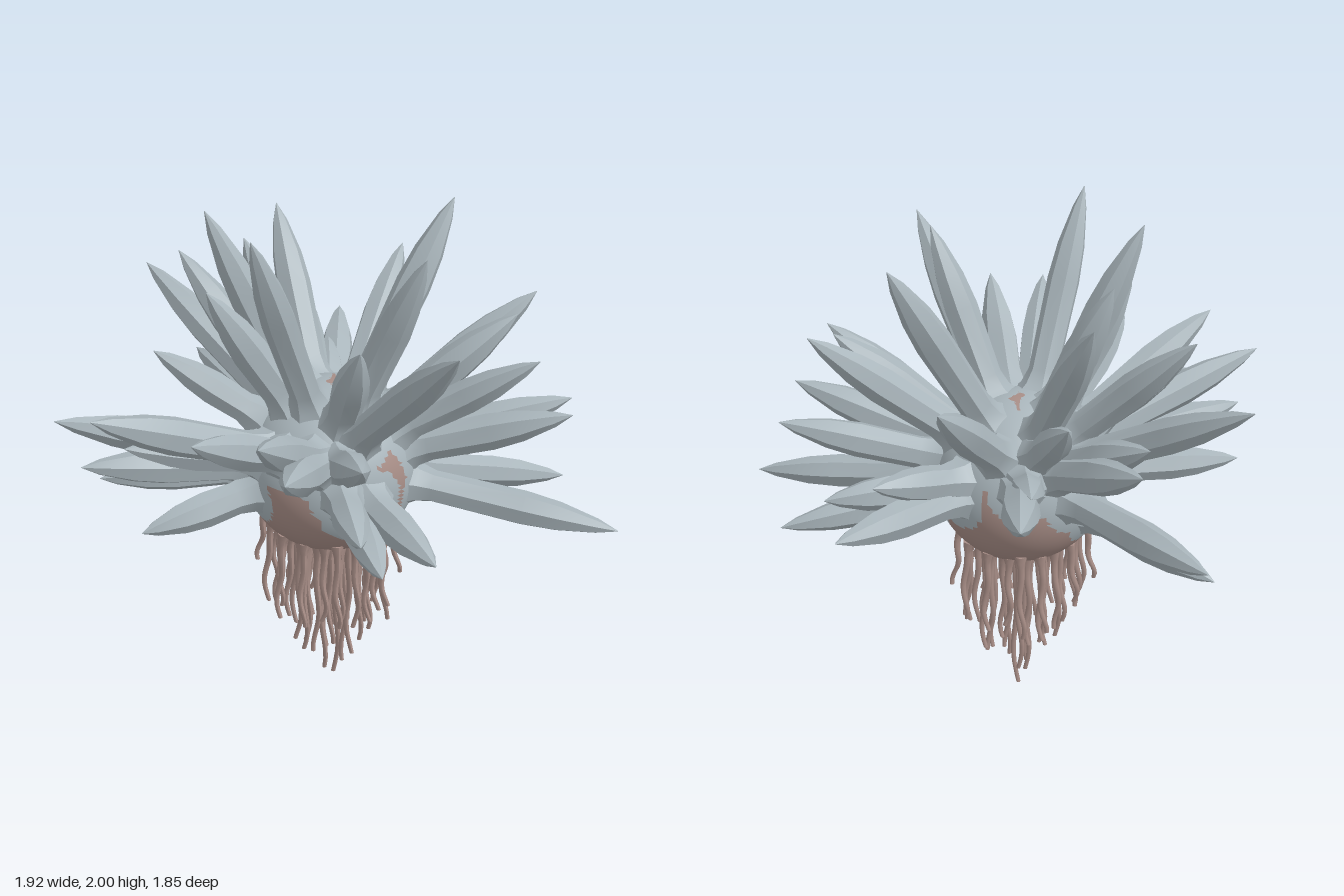
import * as THREE from 'three';
import { toCreasedNormals } from 'three/addons/utils/BufferGeometryUtils.js';

const CENTER = new THREE.Vector3(0.05, 1.0, 0.05);
const R = 0.335;

// Tip of every crystal spike
const TIPS = [
  // upward
  [-0.31, 2.0, 0.34], [-0.37, 1.98, -0.07], [0.56, 1.94, -0.09], [0.27, 1.9, 0.4],
  [0.01, 1.83, -0.54], [-0.2, 1.82, -0.21], [-0.41, 1.75, 0.1],
  [-0.39, 1.7, -0.48], [0.01, 1.64, 0.5],
  // left side
  [0.8, 1.64, 0.15], [0.69, 1.6, 0.24], [0.66, 1.53, 0.5], [0.8, 1.31, 0.51],
  [0.91, 1.26, 0.29], [0.85, 1.08, -0.31], [0.69, 1.22, -0.23], [0.81, 1.03, 0.06],
  [0.96, 0.87, 0.19], [0.96, 0.88, 0.64],
  // right side
  [-0.86, 1.43, 0.32], [-0.96, 1.34, 0.1], [-0.57, 1.47, -0.1], [-0.56, 1.38, 0.49],
  [-0.74, 1.25, 0.2], [-0.88, 1.13, 0.07], [-0.8, 0.98, -0.1], [-0.7, 0.9, 0.2],
  // front
  [0.18, 1.78, 0.92], [-0.36, 1.43, 0.91], [-0.41, 1.5, 0.79], [-0.07, 1.36, 0.78],
  [-0.06, 1.06, 0.75], [0.19, 0.97, 0.8], [0.03, 0.9, 0.72],
  // back
  [0.53, 1.62, -0.53], [-0.47, 1.56, -0.76], [0.34, 1.28, -0.76], [-0.06, 1.42, -0.8],
  [-0.25, 1.09, -0.93], [-0.45, 0.81, -0.62], [-0.15, 1.43, -0.66], [0.1, 1.5, -0.56],
  [0.22, 1.25, -0.53],
].map((t) => new THREE.Vector3(...t));

// Seeded random numbers
let seed = 7;
function rand() {
  seed = (seed * 16807) % 2147483647;
  return seed / 2147483647;
}

const UP = new THREE.Vector3(0, 1, 0);

function spike(tip, material) {
  const axis = tip.clone().sub(CENTER);
  const length = axis.length();
  const w = 0.062 + 0.008 * rand();
  // flared root, slightly swelling shaft, pointed end
  const profile = [
    [0.11, R * 0.88], [0.075, R * 1.03], [w * 0.93, R * 1.2],
    [w, length * 0.68], [w * 0.84, length * 0.8], [w * 0.42, length * 0.93], [0.001, length],
  ].map(([r, y]) => new THREE.Vector2(r, y));
  const geometry = toCreasedNormals(new THREE.LatheGeometry(profile, 7, rand() * 6), 0.7);
  const mesh = new THREE.Mesh(geometry, material);
  mesh.name = 'crystalSpike';
  mesh.position.copy(CENTER);
  mesh.quaternion.setFromUnitVectors(UP, axis.normalize());
  return mesh;
}

// Ball whose faces near a spike root take the crystal colour
function body(skin, crystal) {
  const geometry = new THREE.SphereGeometry(R, 96, 64);
  const directions = TIPS.map((t) => t.clone().sub(CENTER).normalize());
  const pos = geometry.attributes.position;
  const index = geometry.index.array;
  const faces = [[], []];
  const p = new THREE.Vector3();
  const v = new THREE.Vector3();
  for (let i = 0; i < index.length; i += 3) {
    p.set(0, 0, 0);
    for (let k = 0; k < 3; k++) p.add(v.fromBufferAttribute(pos, index[i + k]));
    p.normalize();
    const near = directions.some((d) => d.dot(p) > Math.cos(0.38));
    faces[near ? 1 : 0].push(index[i], index[i + 1], index[i + 2]);
  }
  geometry.setIndex(faces.flat());
  geometry.addGroup(0, faces[0].length, 0);
  geometry.addGroup(faces[0].length, faces[1].length, 1);
  const mesh = new THREE.Mesh(geometry, [skin, crystal]);
  mesh.name = 'body';
  mesh.position.copy(CENTER);
  return mesh;
}

// Thin, gently wavy root hanging from the underside
function root(x, z, endY, material) {
  const r = Math.hypot(x, z);
  const startY = CENTER.y - Math.sqrt(R * R - r * r) + 0.02;
  const height = startY - endY;
  const geometry = new THREE.CylinderGeometry(0.015, 0.009, height, 7, 14);
  const pos = geometry.attributes.position;
  const phase = rand() * 6;
  for (let i = 0; i < pos.count; i++) {
    const t = THREE.MathUtils.clamp(0.5 - pos.getY(i) / height, 0, 1);
    const flare = 1 + 0.9 * Math.max(0, 1 - t * 9);
    const spread = 0.16 * Math.sqrt(t);
    const wave = 0.012 * t;
    pos.setX(i, pos.getX(i) * flare + x * spread + wave * Math.sin(t * 9 + phase));
    pos.setZ(i, pos.getZ(i) * flare + z * spread + wave * Math.cos(t * 8 + phase));
  }
  geometry.computeVertexNormals();
  const mesh = new THREE.Mesh(geometry, material);
  mesh.name = 'root';
  mesh.position.set(CENTER.x + x, (startY + endY) / 2, CENTER.z + z);
  return mesh;
}

export function createModel() {
  const crystal = new THREE.MeshStandardMaterial({ color: 0xa9b5bb });
  crystal.name = 'crystalGrey';
  const skin = new THREE.MeshStandardMaterial({ color: 0xa88e87 });
  skin.name = 'dustyBrown';

  const model = new THREE.Group();
  model.name = 'crystalUrchin';
  model.add(body(skin, crystal));

  const spikes = new THREE.Group();
  spikes.name = 'spikes';
  TIPS.forEach((tip) => spikes.add(spike(tip, crystal)));
  model.add(spikes);

  // Roots in a sunflower layout, longest in the middle
  const roots = new THREE.Group();
  roots.name = 'roots';
  const count = 48;
  for (let i = 0; i < count; i++) {
    const f = Math.sqrt((i + 0.5) / count);
    const a = i * 2.39996;
    const endY = i === 0 ? 0 : 0.02 + 0.4 * f ** 1.4 + 0.13 * rand();
    roots.add(root(0.245 * f * Math.cos(a), 0.245 * f * Math.sin(a), endY, skin));
  }
  model.add(roots);
  return model;
}
